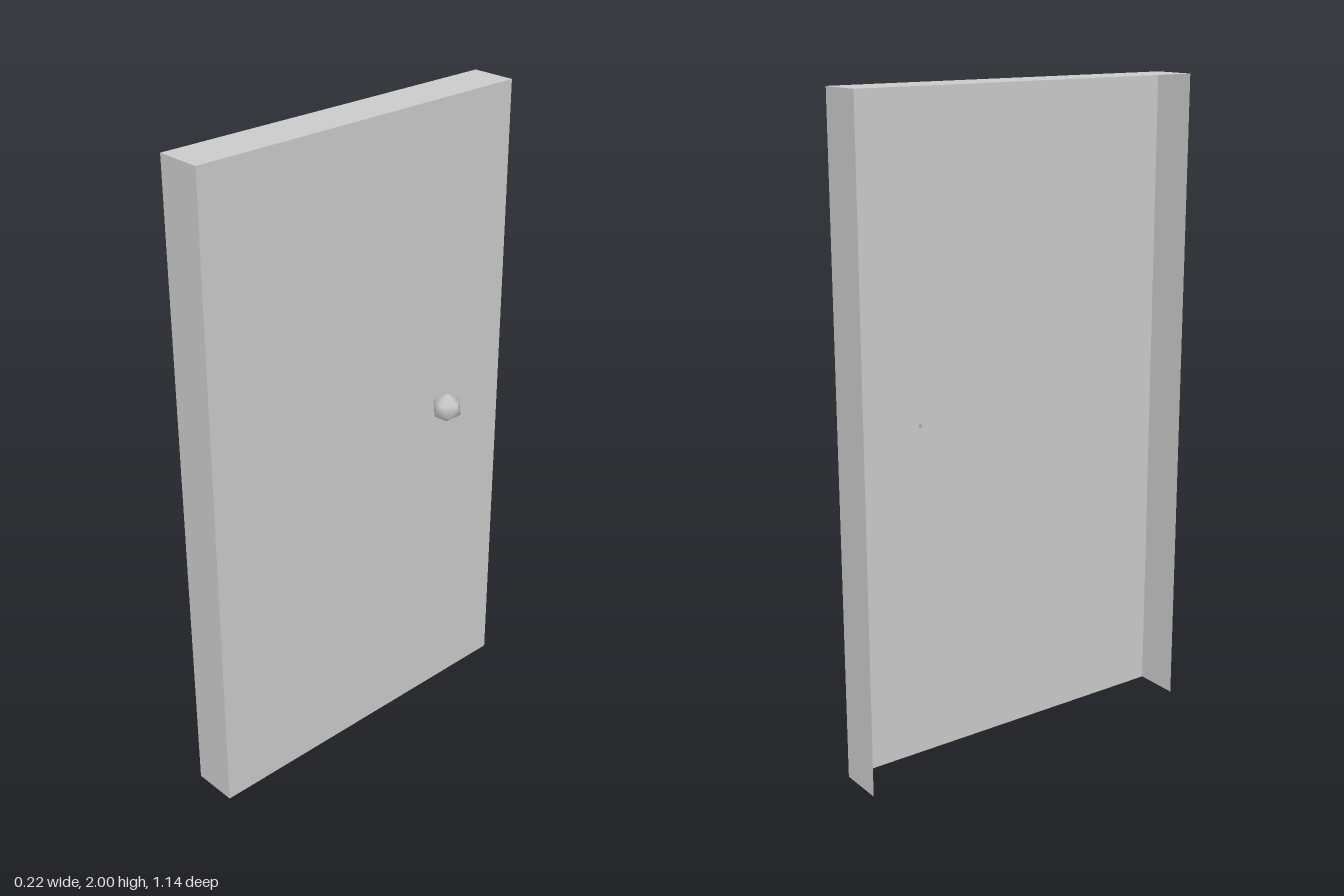
import * as THREE from 'three';
import { mergeVertices } from 'three/addons/utils/BufferGeometryUtils.js';

const HEIGHT = 2, HALF_WIDTH = 0.572;
const FACE_X = 0.03, BACK_X = -0.112;
const DEPTH = FACE_X - BACK_X, MID_X = (FACE_X + BACK_X) / 2;

export function createModel() {
  const group = new THREE.Group();
  group.name = 'door';
  const sheet = new THREE.MeshStandardMaterial({ color: 0xcccccc, side: THREE.DoubleSide });
  const solid = new THREE.MeshStandardMaterial({ color: 0xcccccc });

  const add = (name, geometry, material, x, y, z) => {
    const mesh = new THREE.Mesh(geometry, material);
    mesh.name = name;
    mesh.position.set(x, y, z);
    group.add(mesh);
  };

  // Thin door face, open at the back and bottom
  add('doorFace', new THREE.PlaneGeometry(HALF_WIDTH * 2, HEIGHT).rotateY(Math.PI / 2),
    sheet, FACE_X, HEIGHT / 2, 0);

  // Returns along the two upright edges and the top
  for (const [name, side] of [['frontEdge', 1], ['backEdge', -1]]) {
    const edge = new THREE.PlaneGeometry(DEPTH, HEIGHT);
    if (side < 0) edge.rotateY(Math.PI);
    add(name, edge, sheet, MID_X, HEIGHT / 2, side * HALF_WIDTH);
  }
  add('topEdge', new THREE.PlaneGeometry(DEPTH, HALF_WIDTH * 2).rotateX(-Math.PI / 2),
    sheet, MID_X, HEIGHT, 0);

  // Smooth-shaded icosahedral knob standing on one of its points
  const goldenRatio = (1 + Math.sqrt(5)) / 2;
  let knob = new THREE.IcosahedronGeometry(0.047, 0).rotateZ(-Math.atan(1 / goldenRatio));
  knob.deleteAttribute('normal');
  knob.deleteAttribute('uv');
  knob = mergeVertices(knob);
  knob.computeVertexNormals();
  add('knob', knob, solid, 0.07, 1.05, -0.3);

  return group;
}
